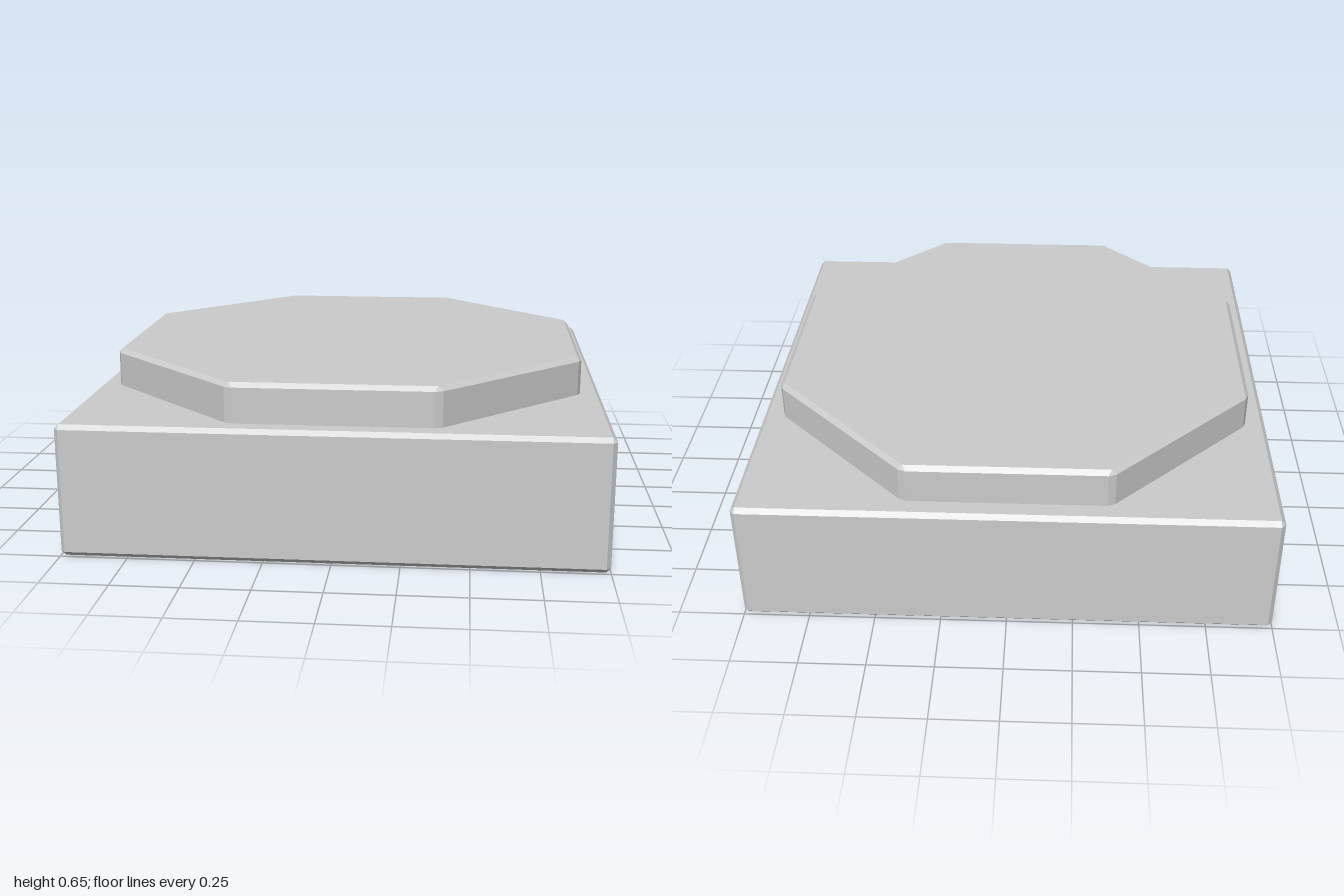
import * as THREE from 'three';

const BEVEL = 0.017;

// Regular prism with flat sides facing the axes and every edge chamfered
function chamferedPrism(sides, apothem, y0, y1, bevelBottom) {
  const step = (2 * Math.PI) / sides;
  const corner = (a, i) => {
    const r = a / Math.cos(step / 2);
    const t = (i + 0.5) * step;
    return new THREE.Vector2(r * Math.sin(t), r * Math.cos(t));
  };

  // Each ring has two points per corner; on the caps they coincide
  const ring = (y, inset) => {
    const points = [];
    for (let i = 0; i < sides; i++) {
      const c = corner(apothem - inset, i);
      for (const dir of [-1, 1]) {
        const p = c.clone();
        if (!inset) p.add(corner(apothem, i + dir).sub(c).setLength(BEVEL));
        points.push(new THREE.Vector3(p.x, y, p.y));
      }
    }
    return points;
  };

  const rings = [ring(y0 + (bevelBottom ? BEVEL : 0), 0), ring(y1 - BEVEL, 0), ring(y1, BEVEL)];
  if (bevelBottom) rings.unshift(ring(y0, BEVEL));

  const positions = [];
  const triangle = (a, b, c) => {
    if (new THREE.Triangle(a, b, c).getArea() < 1e-8) return;
    for (const p of [a, b, c]) positions.push(p.x, p.y, p.z);
  };

  // Walls and bevels between successive rings
  const n = sides * 2;
  for (let k = 0; k < rings.length - 1; k++) {
    const lower = rings[k], upper = rings[k + 1];
    for (let i = 0; i < n; i++) {
      const j = (i + 1) % n;
      triangle(lower[i], lower[j], upper[j]);
      triangle(lower[i], upper[j], upper[i]);
    }
  }

  // Flat caps
  const bottom = rings[0], top = rings[rings.length - 1];
  for (let i = 1; i < n - 1; i++) {
    triangle(top[0], top[i], top[i + 1]);
    triangle(bottom[0], bottom[i + 1], bottom[i]);
  }

  const geometry = new THREE.BufferGeometry();
  geometry.setAttribute('position', new THREE.Float32BufferAttribute(positions, 3));
  geometry.computeVertexNormals();
  return geometry;
}

export function createModel() {
  const group = new THREE.Group();
  group.name = 'octagonalPedestal';
  const material = new THREE.MeshStandardMaterial({ color: 0xcccccc, flatShading: true });

  // Square block standing on the ground
  const base = new THREE.Mesh(chamferedPrism(4, 1, 0, 0.5, true), material);
  base.name = 'squareBase';

  // Eight-sided slab seated on the block
  const slab = new THREE.Mesh(chamferedPrism(8, 0.92, 0.5, 0.65, false), material);
  slab.name = 'octagonalSlab';

  group.add(base, slab);
  return group;
}
